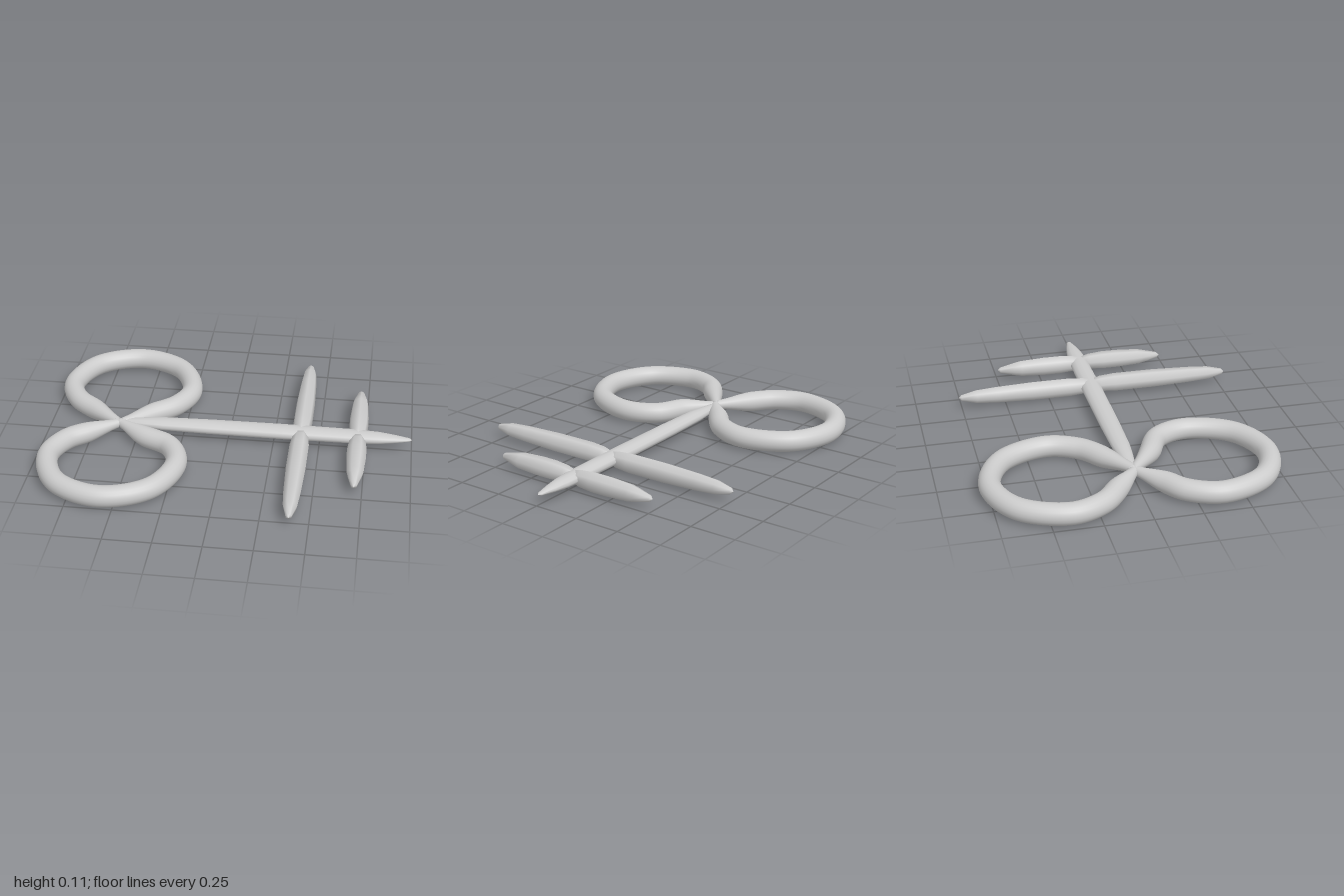
import * as THREE from 'three';

const material = new THREE.MeshStandardMaterial({ color: 0xcccccc });
const V = (x, z) => new THREE.Vector3(x, 0.057, z);

// Teardrop ring: a tube that starts and ends thin at the crossing point
function loop(name, cx, cz, r) {
  const s = Math.sign(cz), k = r * Math.SQRT1_2;
  const start = V(-0.6, -s * 0.005);
  const side = d => [
    V(-0.6 + d * 0.15, s * 0.115),
    V(cx + d * 0.282, cz - s * 0.17),
    V(cx + d * r, cz),
    V(cx + d * k, cz + s * k),
  ];
  const path = new THREE.CatmullRomCurve3(
    [start, ...side(-1), V(cx, cz + s * r), ...side(1).reverse(), start.clone()], false, 'centripetal');
  const rings = 96, sides = 20;
  const geo = new THREE.TubeGeometry(path, rings, 0.057, sides, false);
  const pos = geo.attributes.position, v = new THREE.Vector3();
  for (let i = 0; i <= rings; i++) {
    const t = i / rings, c = path.getPointAt(t);
    const e = Math.min(t, 1 - t);
    const scale = e === 0 ? 0 : 0.45 + 0.55 * THREE.MathUtils.smoothstep(e, 0, 0.11);
    for (let j = 0; j <= sides; j++) {
      const n = i * (sides + 1) + j;
      v.fromBufferAttribute(pos, n).sub(c).multiplyScalar(scale).add(c);
      pos.setXYZ(n, v.x, v.y, v.z);
    }
  }
  const mesh = new THREE.Mesh(geo, material);
  mesh.name = name;
  return mesh;
}

// Tapered rod turned around its length; profile holds [radius, distance] pairs
function rod(name, profile, sides) {
  const geo = new THREE.LatheGeometry(profile.map(([r, y]) => new THREE.Vector2(r, y)), sides);
  const mesh = new THREE.Mesh(geo, material);
  mesh.name = name;
  return mesh;
}

// Half of a cross bar: pinched at the shaft, swelling, then a blunt pointed tip
function barHalf(name, x, dir, length) {
  const mesh = rod(name, [
    [0, -0.02], [0.028, -0.015], [0.046, 0.05], [0.053, 0.13], [0.053, length * 0.45],
    [0.046, length * 0.72], [0.038, length - 0.1], [0.017, length - 0.015], [0, length],
  ], 7);
  mesh.rotation.x = dir * Math.PI / 2;
  mesh.position.set(x, 0.06, 0);
  return mesh;
}

export function createModel() {
  const group = new THREE.Group();
  group.name = 'doubleCross';

  // Figure-eight base
  group.add(loop('backLoop', -0.6, -0.4, 0.343));
  group.add(loop('frontLoop', -0.573, 0.375, 0.343));

  // Long shaft, flatter than it is wide
  const shaft = rod('shaft', [
    [0, -0.62], [0.022, -0.6], [0.04, -0.46], [0.05, -0.36], [0.056, -0.1], [0.058, 0.3],
    [0.054, 0.7], [0.046, 0.82], [0.033, 0.9], [0.014, 0.985], [0, 1],
  ], 12);
  shaft.rotation.z = -Math.PI / 2;
  shaft.scale.x = 0.62;
  shaft.position.set(0, 0.062, -0.012);
  group.add(shaft);

  // Two cross bars
  group.add(barHalf('longBarFront', 0.4, 1, 0.79), barHalf('longBarBack', 0.4, -1, 0.765));
  group.add(barHalf('shortBarFront', 0.708, 1, 0.48), barHalf('shortBarBack', 0.708, -1, 0.495));
  return group;
}
